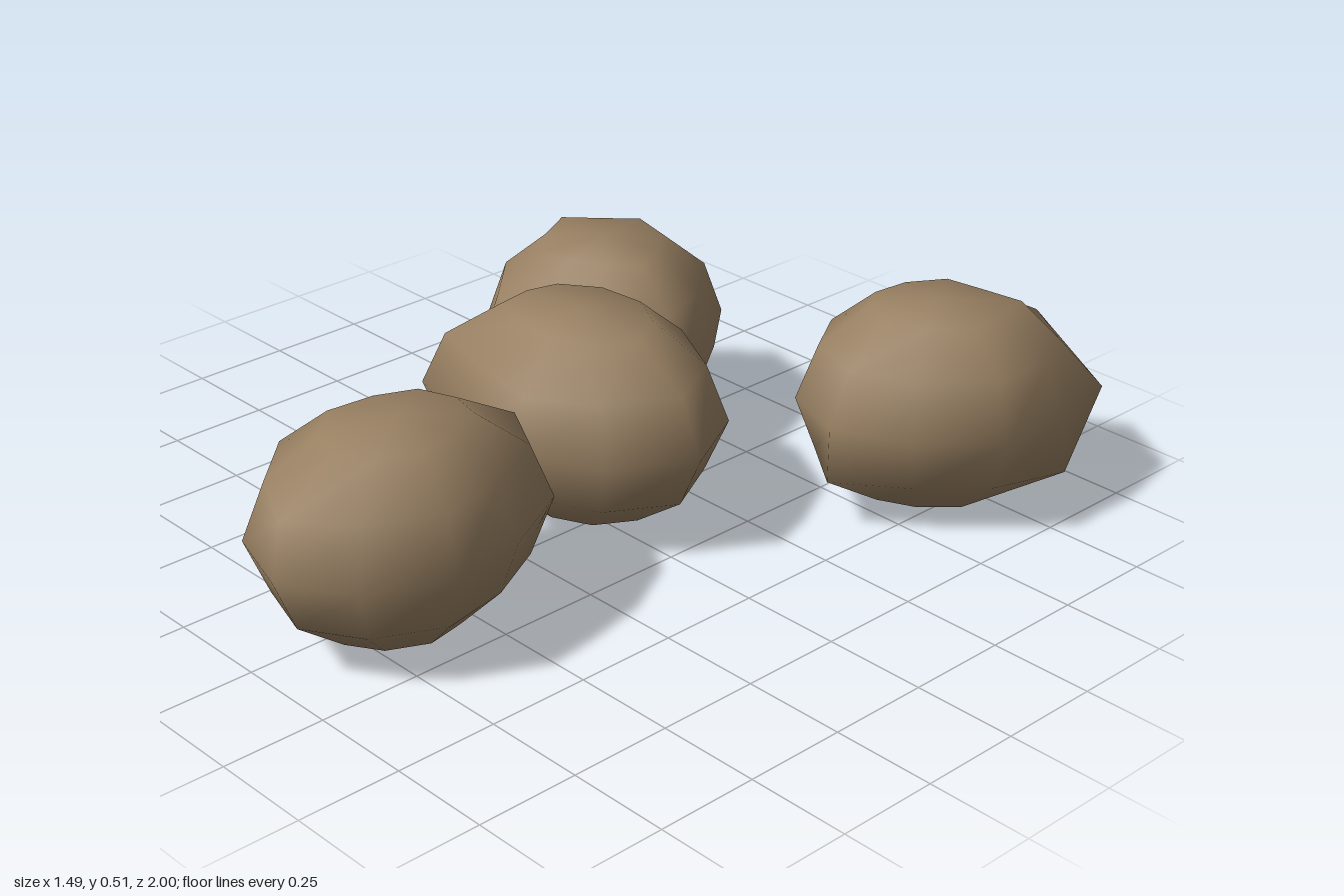
import * as THREE from 'three';

// Each rock: pole position [x, z], its outline at the waist seen from above
// (clockwise from the back), and single knobs [band, corner, x, y, z] off the regular shape.
const ROCKS = [
  { name: 'frontRock', pole: [0.06, 0.63],
    outline: [[0.04, 0.28], [0.21, 0.32], [0.31, 0.51], [0.35, 0.71], [0.26, 0.90],
      [0.10, 1.0], [-0.09, 0.94], [-0.24, 0.78], [-0.22, 0.54], [-0.14, 0.35]],
    knobs: [[3, 0, 0.04, 0.41, 0.285], [3, 5, 0.09, 0.41, 0.97]] },
  { name: 'middleRock', pole: [-0.09, -0.03],
    outline: [[0.0, -0.33], [0.21, -0.22], [0.31, -0.03], [0.20, 0.16], [0.01, 0.25],
      [-0.20, 0.24], [-0.43, 0.17], [-0.46, -0.02], [-0.42, -0.18], [-0.24, -0.31]],
    knobs: [[3, 4, 0.0, 0.41, 0.23]] },
  { name: 'backRightRock', pole: [-0.36, -0.35],
    outline: [[-0.46, -0.70], [-0.24, -0.645], [-0.10, -0.48], [-0.03, -0.30], [-0.15, -0.16],
      [-0.31, -0.08], [-0.47, -0.04], [-0.64, -0.22], [-0.745, -0.42], [-0.60, -0.56]],
    knobs: [[1, 8, -0.63, 0.15, -0.40], [3, 8, -0.65, 0.41, -0.40]] },
  { name: 'backLeftRock', pole: [0.43, -0.67],
    outline: [[0.27, -0.94], [0.46, -0.97], [0.68, -1.0], [0.725, -0.8], [0.725, -0.6],
      [0.58, -0.44], [0.40, -0.355], [0.23, -0.42], [0.14, -0.57], [0.16, -0.76]],
    knobs: [[3, 1, 0.47, 0.41, -1.0], [3, 2, 0.61, 0.41, -0.91], [1, 2, 0.60, 0.145, -0.90],
      [1, 3, 0.74, 0.145, -0.8], [1, 6, 0.40, 0.145, -0.355]] },
];

// Stone profile from base to crown: [height, share of the waist outline]
const BANDS = [[0.046, 0.49], [0.145, 0.84], [0.28, 1], [0.415, 0.845], [0.51, 0.49]];
const BASE_Y = 0.02;
const CROWN_Y = 0.528;

// Rounded stone: rings of corners closed by one point below and one above
function rockGeometry({ pole, outline, knobs }) {
  const n = outline.length;
  const rings = BANDS.map(([y, size]) => outline.map(([x, z]) =>
    [pole[0] + (x - pole[0]) * size, y, pole[1] + (z - pole[1]) * size]));
  for (const [band, corner, ...point] of knobs) rings[band][corner] = point;

  const points = [
    pole[0], BASE_Y, pole[1],
    ...rings.flat(2),
    pole[0], CROWN_Y, pole[1],
  ];

  const last = BANDS.length;
  const id = (level, i) =>
    level === 0 ? 0 : level > last ? 1 + last * n : 1 + (level - 1) * n + (i % n);
  const index = [];
  for (let level = 0; level <= last; level++) {
    for (let i = 0; i < n; i++) {
      const a = id(level, i), b = id(level, i + 1);
      const c = id(level + 1, i), d = id(level + 1, i + 1);
      if (level > 0) index.push(a, c, b);
      if (level < last) index.push(b, c, d);
    }
  }

  const geometry = new THREE.BufferGeometry();
  geometry.setAttribute('position', new THREE.Float32BufferAttribute(points, 3));
  geometry.setIndex(index);
  geometry.computeVertexNormals();
  return geometry;
}

export function createModel() {
  const group = new THREE.Group();
  group.name = 'rockCluster';
  const stone = new THREE.MeshStandardMaterial({ color: 0x988062 });
  stone.name = 'brownStone';

  for (const rock of ROCKS) {
    const mesh = new THREE.Mesh(rockGeometry(rock), stone);
    mesh.name = rock.name;
    group.add(mesh);
  }
  return group;
}
